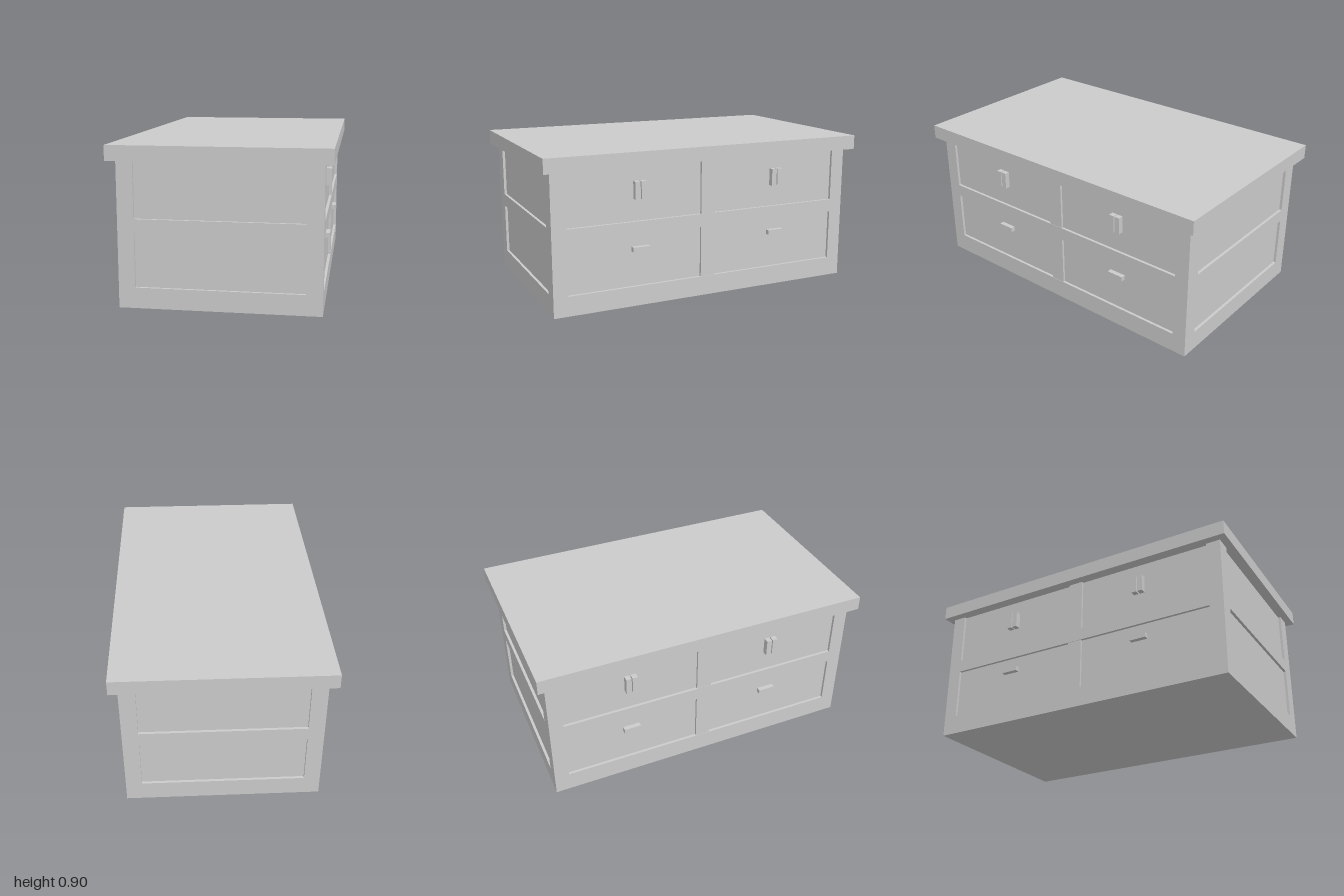
import * as THREE from 'three';

const W = 1.12, L = 1.91, H = 0.82, D = 0.016; // body size and panel recess depth
const material = new THREE.MeshStandardMaterial({ color: 0xcccccc, flatShading: true });

function add(parent, name, geometry, x = 0, y = 0, z = 0) {
  const mesh = new THREE.Mesh(geometry, material);
  mesh.name = name;
  mesh.position.set(x, y, z);
  parent.add(mesh);
  return mesh;
}

function box(parent, name, sx, sy, sz, x, y, z) {
  return add(parent, name, new THREE.BoxGeometry(sx, sy, sz), x, y, z);
}

// Face frame: a notch for the upper panel and a hole for the lower one
function faceFrame(halfWidth, halfPanel) {
  const shape = new THREE.Shape([
    [-halfWidth, 0], [halfWidth, 0], [halfWidth, H], [halfPanel, H],
    [halfPanel, 0.5], [-halfPanel, 0.5], [-halfPanel, H], [-halfWidth, H],
  ].map(([x, y]) => new THREE.Vector2(x, y)));
  shape.holes.push(new THREE.Path([
    [-halfPanel, 0.117], [-halfPanel, 0.422], [halfPanel, 0.422], [halfPanel, 0.117],
  ].map(([x, y]) => new THREE.Vector2(x, y))));
  return new THREE.ExtrudeGeometry(shape, { depth: D, bevelEnabled: false });
}

export function createModel() {
  const group = new THREE.Group();
  group.name = 'chest';

  // Body core and overhanging top
  box(group, 'body', W - 2 * D, H, L - 2 * D, 0, H / 2, 0);
  box(group, 'top', 1.214, 0.085, 2, 0, H + 0.0425, 0);

  // Frames on the two ends
  const endFrame = faceFrame(W / 2, 0.468);
  for (const s of [1, -1]) {
    const frame = add(group, 'endFrame', endFrame, 0, 0, s * (L / 2 - D));
    if (s < 0) frame.rotation.y = Math.PI;
  }

  // Frames, dividers and handles on the two long sides
  const sideFrame = faceFrame(L / 2 - D, 0.87);
  for (const s of [1, -1]) {
    const frame = add(group, 'sideFrame', sideFrame, s * (W / 2 - D), 0, 0);
    frame.rotation.y = s * Math.PI / 2;

    const face = W / 2 - D;
    for (const [y0, y1] of [[0.117, 0.422], [0.5, H]])
      box(group, 'divider', D - 0.002, y1 - y0, 0.09, s * (face + D / 2 - 0.001), (y0 + y1) / 2, 0);

    for (const z of [0.433, -0.46]) {
      // Paired upright pulls above, a single horizontal pull below
      const reach = (s > 0 ? 0.575 : 0.579) - face;
      for (const side of [1, -1])
        box(group, 'upperHandle', reach, 0.102, 0.032, s * (face + reach / 2), 0.68, z + side * 0.019);
      box(group, 'lowerHandle', 0.572 - face, 0.028, 0.103, s * (face + 0.572) / 2, 0.338, z - 0.003);
    }
  }
  return group;
}
